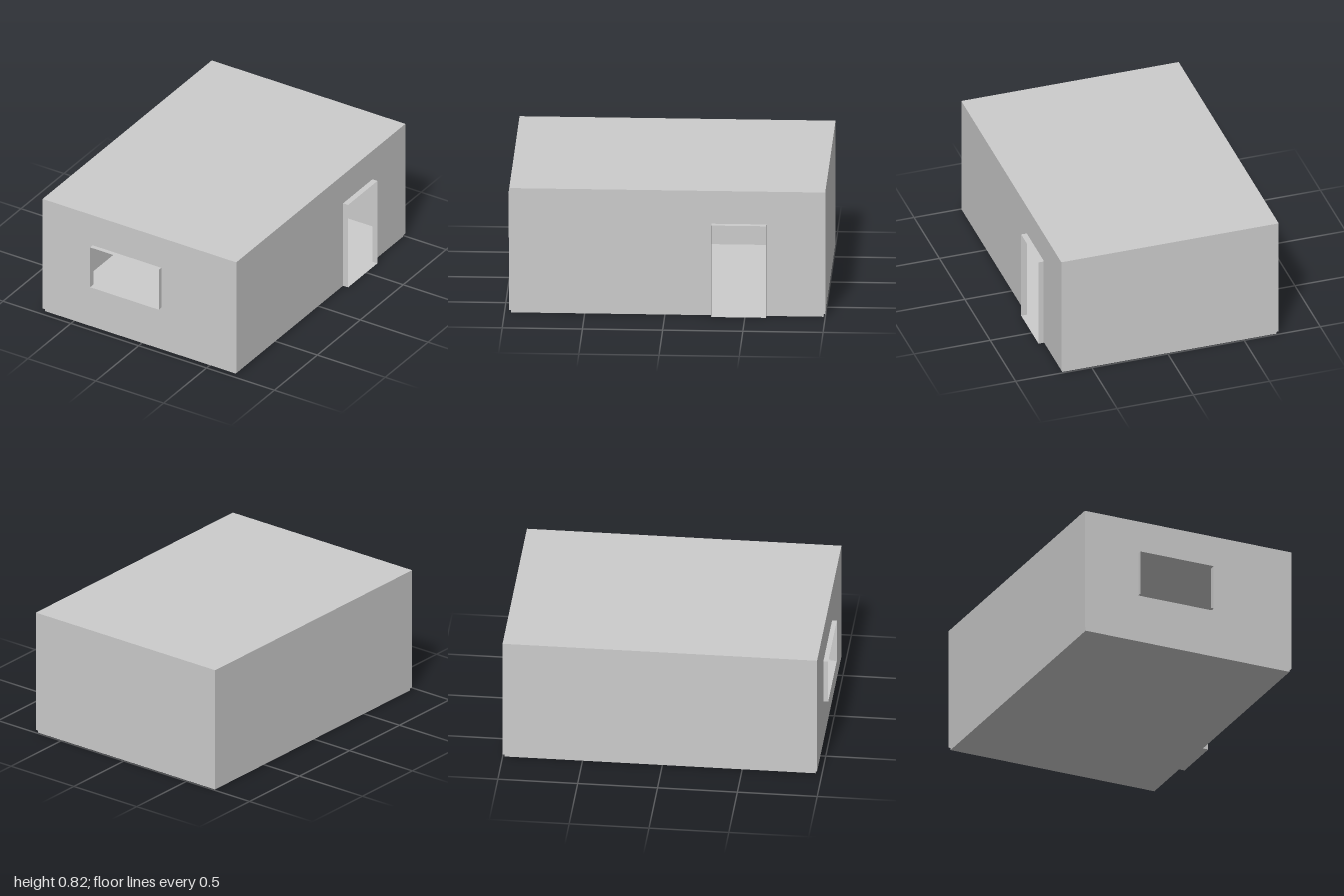
import * as THREE from 'three';

const material = new THREE.MeshStandardMaterial({ color: 0xcccccc, side: THREE.DoubleSide });
const Q = Math.PI / 2;

// Openings: window along x, doorway along -z
const win = { x0: -0.358, x1: 0.148, y0: 0.31, y1: 0.6, out: 1.0 };
const door = { a0: 0.29, a1: 0.632, top: 0.6, out: 0.727 };

function rectPoints(a0, a1, b0, b1) {
  return [[a0, b0], [a1, b0], [a1, b1], [a0, b1]].map(([a, b]) => new THREE.Vector2(a, b));
}

// Flat sheet drawn in its own plane, then turned to face outwards and pushed to its place
function sheet(name, points, hole, rx, ry, position) {
  const shape = new THREE.Shape(points);
  if (hole) shape.holes.push(new THREE.Path(hole));
  const geometry = new THREE.ShapeGeometry(shape);
  geometry.rotateX(rx).rotateY(ry).translate(...position);
  const mesh = new THREE.Mesh(geometry, material);
  mesh.name = name;
  return mesh;
}

// Thin-walled room with a window hole at the front and a doorway on the +x side
function room(name, b, gap) {
  const group = new THREE.Group();
  group.name = name;
  const d0 = door.a0 - gap, d1 = door.a1 + gap, top = door.top + gap;
  const doorWall = [
    [-b.z1, b.y0], [d0, b.y0], [d0, top], [d1, top], [d1, b.y0], [-b.z0, b.y0], [-b.z0, b.y1], [-b.z1, b.y1],
  ].map(([u, v]) => new THREE.Vector2(u, v));
  const windowHole = rectPoints(win.x0, win.x1, win.y0, win.y1);
  group.add(
    sheet('frontWall', rectPoints(b.x0, b.x1, b.y0, b.y1), windowHole, 0, 0, [0, 0, b.z1]),
    sheet('backWall', rectPoints(-b.x1, -b.x0, b.y0, b.y1), null, 0, 2 * Q, [0, 0, b.z0]),
    sheet('doorWall', doorWall, null, 0, Q, [b.x1, 0, 0]),
    sheet('plainWall', rectPoints(b.z0, b.z1, b.y0, b.y1), null, 0, -Q, [b.x0, 0, 0]),
    sheet('ceiling', rectPoints(b.x0, b.x1, -b.z1, -b.z0), null, -Q, 0, [0, b.y1, 0]),
  );
  return group;
}

export function createModel() {
  const model = new THREE.Group();
  model.name = 'room';

  // Outer shell, open below, and the lining just inside it
  const outer = { x0: -0.727, x1: 0.7, y0: 0.02, y1: 0.818, z0: -1, z1: 0.97 };
  const inner = { x0: -0.717, x1: 0.69, y0: 0, y1: 0.808, z0: -0.99, z1: 0.96 };
  model.add(room('outerShell', outer, 0.02), room('lining', inner, 0));
  model.add(sheet('floor', rectPoints(inner.x0, inner.x1, inner.z0, inner.z1), null, Q, 0, [0, 0, 0]));

  // Window surround: four thin sides standing out of the front wall
  const windowFrame = new THREE.Group();
  windowFrame.name = 'windowFrame';
  const { x0, x1, y0, y1 } = win;
  for (const [y, turn] of [[y0, Q], [y1, -Q]]) {
    const depth = turn > 0 ? [inner.z1, win.out] : [-win.out, -inner.z1];
    windowFrame.add(sheet('windowRail', rectPoints(x0, x1, ...depth), null, turn, 0, [0, y, 0]));
  }
  for (const [x, turn] of [[x0, -Q], [x1, Q]]) {
    const depth = turn < 0 ? [inner.z1, win.out] : [-win.out, -inner.z1];
    windowFrame.add(sheet('windowSide', rectPoints(...depth, y0, y1), null, 0, turn, [x, 0, 0]));
  }

  // Door surround: jambs, head and threshold standing out of the door wall
  const doorFrame = new THREE.Group();
  doorFrame.name = 'doorFrame';
  doorFrame.add(
    sheet('doorJamb', rectPoints(inner.x1, door.out, 0, door.top), null, 0, 0, [0, 0, -door.a0]),
    sheet('doorJamb', rectPoints(-door.out, -inner.x1, 0, door.top), null, 0, 2 * Q, [0, 0, -door.a1]),
    sheet('doorHead', rectPoints(inner.x1, door.out, door.a0, door.a1), null, -Q, 0, [0, door.top, 0]),
    sheet('threshold', rectPoints(inner.x1, door.out, -door.a1, -door.a0), null, Q, 0, [0, 0, 0]),
  );

  model.add(windowFrame, doorFrame);
  return model;
}
